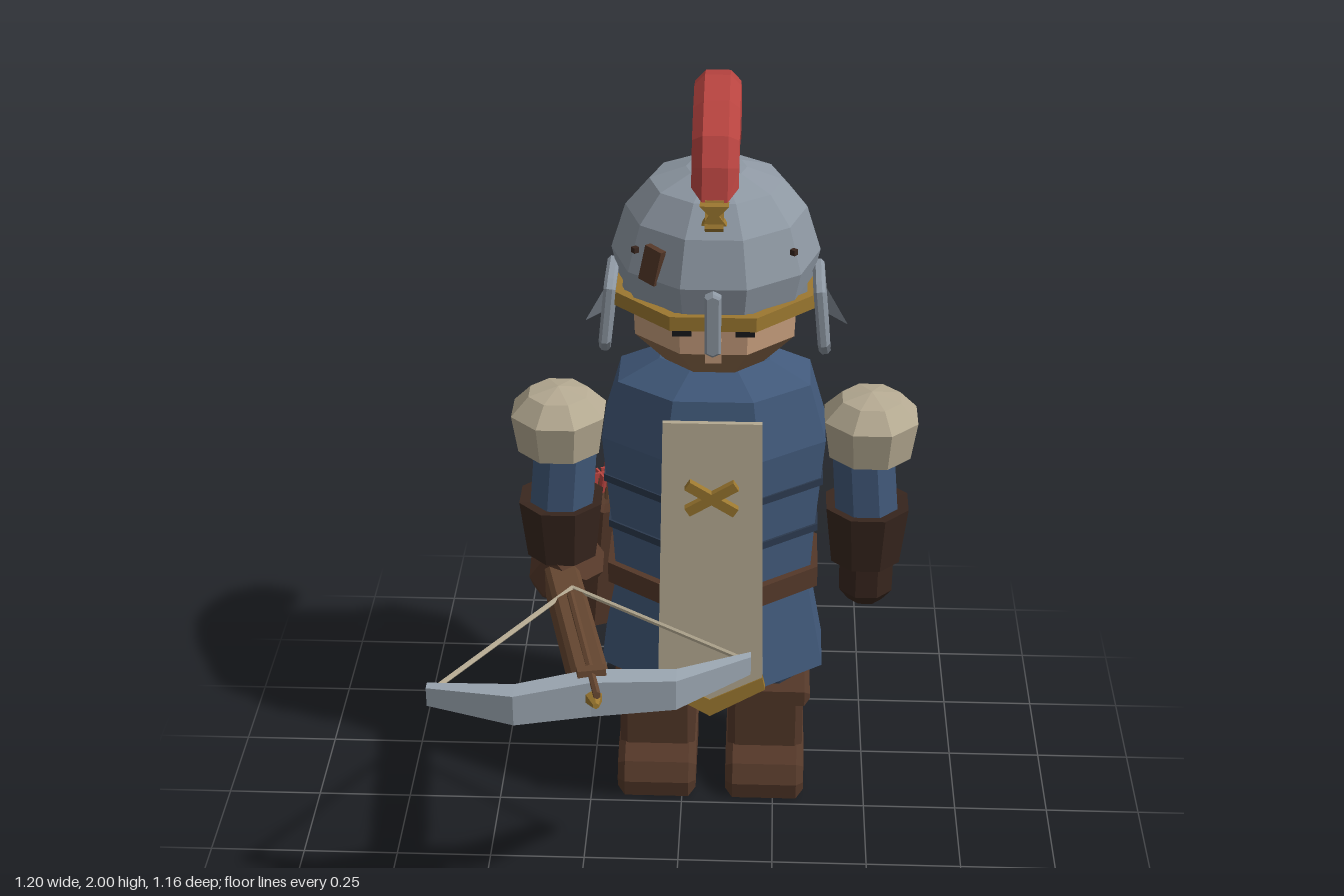
import * as THREE from 'three';

const C = { blue: 0x41597a, navy: 0x2b394d, brown: 0x543829, dark: 0x38261e, wood: 0x664731, steel: 0x8e98a3,
  bow: 0x9aa5b0, pale: 0xb5aa92, gold: 0x9c7830, red: 0xb84440, skin: 0xc69d7c, stubble: 0x8c6a4c, black: 0x17181b };
const mats = {};
const mat = (c) => (mats[c] ??= new THREE.MeshStandardMaterial({ color: C[c], flatShading: true, side: THREE.DoubleSide }));

function add(parent, name, geo, color, x = 0, y = 0, z = 0, rx = 0, ry = 0, rz = 0) {
  const m = new THREE.Mesh(geo, mat(color));
  m.name = name;
  m.position.set(x, y, z);
  m.rotation.set(rx, ry, rz);
  parent.add(m);
  return m;
}

// Faceted solid of revolution with a flat front; radii are half widths, depth scales z
function turned(profile, n = 8, depth = 1, k = 1 / Math.cos(Math.PI / n)) {
  const pts = profile.map(([r, y]) => new THREE.Vector2(r * k, y));
  return new THREE.LatheGeometry(pts, n, Math.PI / n).scale(1, 1, depth);
}

const shapeOf = (pts) => new THREE.Shape(pts.map((p) => new THREE.Vector2(...p)));

function slab(pts, depth, bevel = 0) {
  const geo = new THREE.ExtrudeGeometry(shapeOf(pts), { depth: depth - 2 * bevel, bevelEnabled: bevel > 0,
    bevelSize: bevel, bevelThickness: bevel, bevelOffset: -bevel, bevelSegments: 1 });
  return geo.translate(0, 0, bevel - depth / 2);
}
// Side profile given as [z, y], extruded across x
const sideSlab = (pts, width, bevel) => slab(pts, width, bevel).rotateY(-Math.PI / 2);
const rect = (x0, y0, x1, y1) => [[x0, y0], [x1, y0], [x1, y1], [x0, y1]];
const box = (w, h, d) => new THREE.BoxGeometry(w, h, d);

function rod(parent, name, a, b, r, color, r2 = r) {
  const A = new THREE.Vector3(...a), B = new THREE.Vector3(...b), d = B.clone().sub(A);
  const m = add(parent, name, new THREE.CylinderGeometry(r2, r, d.length(), 6), color);
  m.position.copy(A).addScaledVector(d, 0.5);
  m.quaternion.setFromUnitVectors(new THREE.Vector3(0, 1, 0), d.normalize());
}

// Four-sided bar along x through sections [x, y, z, halfHeight, halfThickness]
function bar(sections) {
  const pos = [], idx = [], n = sections.length;
  for (const [x, y, z, h, t] of sections)
    pos.push(x, y + h, z + t, x, y - h, z + t, x, y - h, z - t, x, y + h, z - t);
  for (let i = 0; i < n - 1; i++)
    for (let j = 0; j < 4; j++) {
      const a = i * 4 + j, b = i * 4 + (j + 1) % 4;
      idx.push(a, b, b + 4, a, b + 4, a + 4);
    }
  const e = (n - 1) * 4;
  idx.push(0, 2, 1, 0, 3, 2, e, e + 1, e + 2, e, e + 2, e + 3);
  const g = new THREE.BufferGeometry();
  g.setAttribute('position', new THREE.Float32BufferAttribute(pos, 3));
  g.setIndex(idx);
  g.computeVertexNormals();
  return g;
}

function makeBody(f) {
  add(f, 'tunic', turned([[0, 0.42], [0.25, 0.4], [0.298, 0.378], [0.255, 0.62], [0.265, 0.8], [0.288, 1.07],
    [0.245, 1.225], [0.14, 1.28], [0, 1.28]], 8, 0.71), 'blue');
  for (const [y, r] of [[0.81, 0.274], [0.95, 0.284]])
    add(f, 'tunicBand', turned([[r - 0.02, y - 0.01], [r, y - 0.01], [r, y + 0.01], [r - 0.02, y + 0.01]], 8, 0.71), 'navy');
  add(f, 'belt', turned([[0.24, 0.63], [0.278, 0.63], [0.278, 0.69], [0.24, 0.69]], 8, 0.73), 'brown');

  // Front and back tabards, leaning out toward the hem
  for (const s of [1, -1]) {
    const t = new THREE.Group();
    t.name = s > 0 ? 'frontTabard' : 'backTabard';
    t.position.set(0, 1.19, s * 0.216);
    t.rotation.set(-0.07, s > 0 ? 0 : Math.PI, 0, 'YXZ');
    f.add(t);
    add(t, 'cloth', slab([[-0.125, 0], [-0.137, -0.74], [0, -0.81], [0.137, -0.74], [0.125, 0]], 0.016), 'pale');
    add(t, 'hemTrim', slab([[-0.145, -0.765], [0, -0.85], [0.145, -0.765], [0.137, -0.73], [0, -0.8], [-0.137, -0.73]], 0.024), 'gold');
  }
  for (const a of [0.56, -0.56])
    add(f, 'crossEmblem', box(0.145, 0.026, 0.02), 'gold', 0, 1, 0.265, 0, 0, a);

  // Legs and boots
  for (const s of [1, -1]) {
    const leg = new THREE.Group();
    leg.name = s > 0 ? 'leftLeg' : 'rightLeg';
    leg.position.x = s * 0.148;
    f.add(leg);
    add(leg, 'trouser', turned([[0.09, 0.28], [0.09, 0.46]]), 'navy');
    add(leg, 'bootShaft', sideSlab(rect(-0.12, 0.1, 0.115, 0.28), 0.205, 0.02), 'brown');
    add(leg, 'bootCuff', sideSlab(rect(-0.13, 0.27, 0.13, 0.315), 0.24, 0.015), 'brown');
    add(leg, 'bootFoot', sideSlab([[-0.12, 0], [0.19, 0], [0.197, 0.05], [0.17, 0.1], [0.1, 0.13], [-0.12, 0.13]], 0.215, 0.02), 'brown');
  }

  // Arms; the right hand turns in to grip the stock
  for (const s of [1, -1]) {
    const arm = new THREE.Group();
    arm.name = s > 0 ? 'leftArm' : 'rightArm';
    arm.position.x = s * 0.405;
    f.add(arm);
    add(arm, 'shoulderCap', turned([[0, 0.99], [0.105, 1], [0.12, 1.105], [0.075, 1.155], [0, 1.172]]), 'pale', 0, 0, 0, 0, 0, 0).rotation.z = 0;
    add(arm, 'sleeve', turned([[0.082, -0.12], [0.08, 0.12]]), 'blue', s * -0.01, 0.93, 0, 0, 0, s * 0.08);
    add(arm, 'gauntlet', turned([[0, 0.68], [0.09, 0.68], [0.108, 0.845], [0, 0.83]], 8), 'dark');
    const hand = turned([[0, -0.07], [0.045, -0.07], [0.07, -0.035], [0.07, 0.07], [0, 0.07]]);
    if (s > 0) add(arm, 'hand', hand, 'dark', 0.005, 0.62, 0);
    else add(arm, 'hand', hand.scale(1.15, 1.15, 1.15), 'brown', 0, 0.615, 0, 0.35, 0, -0.5);
  }
}

function makeHead(f) {
  add(f, 'jaw', turned([[0, 1.27], [0.125, 1.28], [0.2, 1.365]], 8, 0.93), 'stubble');
  add(f, 'face', turned([[0.2, 1.365], [0.205, 1.5], [0, 1.5]], 8, 0.93), 'skin');
  add(f, 'nose', box(0.04, 0.06, 0.03), 'skin', 0, 1.38, 0.19);
  for (const s of [1, -1]) add(f, 'eye', box(0.048, 0.035, 0.012), 'black', s * 0.078, 1.435, 0.188);

  // Helmet
  add(f, 'helmetDome', turned([[0.235, 1.46], [0.245, 1.5], [0.261, 1.57], [0.225, 1.685], [0.165, 1.755],
    [0.075, 1.787], [0, 1.795]], 10, 1, 1), 'steel');
  add(f, 'helmetBand', turned([[0.23, 1.46], [0.255, 1.46], [0.255, 1.497], [0.23, 1.497]], 8, 0.98), 'gold');
  add(f, 'noseGuard', slab([[-0.02, 1.41], [0, 1.4], [0.02, 1.41], [0.02, 1.56], [0, 1.57], [-0.02, 1.56]], 0.03, 0.006), 'steel', 0, 0, 0.262);
  add(f, 'neckGuard', new THREE.CylinderGeometry(0.258, 0.368, 0.2, 4, 1, true, Math.PI - 1.19, 2.38), 'steel', 0, 1.395, 0);
  for (const s of [1, -1])
    add(f, 'cheekPlate', sideSlab([[0.05, -0.115], [0.14, -0.05], [0.14, 0.1], [0.115, 0.118], [-0.02, 0.118],
      [-0.045, 0.1], [-0.045, -0.05]], 0.03, 0.008), 'steel', s * 0.268, 1.417, 0, 0, 0, s * 0.1);
  add(f, 'dentPatch', box(0.05, 0.09, 0.02), 'brown', -0.15, 1.607, 0.19, -0.15, -0.63, -0.25);
  for (const a of [0.9, -0.9, 2.2, -2.2])
    add(f, 'rivet', box(0.014, 0.014, 0.014), 'dark', Math.sin(a) * 0.246, 1.63, Math.cos(a) * 0.246, 0, a, 0);

  // Crest and its gilt holder
  add(f, 'crest', sideSlab([[0.185, 1.77], [0.165, 1.85], [0.125, 1.915], [0.035, 1.97], [-0.06, 2], [-0.15, 1.98],
    [-0.24, 1.92], [-0.3, 1.825], [-0.307, 1.735], [-0.285, 1.715], [-0.195, 1.775], [-0.07, 1.81], [0.06, 1.81]], 0.114, 0.026), 'red');
  add(f, 'crestHolder', sideSlab([[0.215, 1.715], [0.185, 1.775], [0.06, 1.815], [-0.07, 1.815], [-0.195, 1.785],
    [-0.285, 1.72], [-0.265, 1.69], [-0.17, 1.75], [0, 1.785], [0.14, 1.745], [0.2, 1.7]], 0.045), 'gold');
  add(f, 'crestClip', slab([[-0.035, 1.77], [-0.012, 1.745], [-0.03, 1.72], [0.03, 1.72], [0.012, 1.745], [0.035, 1.77]], 0.03), 'gold', 0, 0, 0.195);
}

function makeCrossbow(root) {
  const g = new THREE.Group();
  g.name = 'crossbow';
  root.add(g);
  const stock = new THREE.Group();
  stock.name = 'stock';
  stock.position.set(-0.285, 0.645, 0.05);
  stock.rotation.set(-0.12, 0.2, 0, 'YXZ');
  g.add(stock);
  add(stock, 'tiller', sideSlab([[-0.42, -0.075], [-0.3, -0.06], [0.4, -0.055], [0.44, -0.03], [0.44, 0.045], [0.4, 0.05],
    [-0.25, 0.045], [-0.42, 0.04]], 0.09, 0.012), 'wood');
  rod(stock, 'bolt', [0, 0.055, 0], [0, 0.045, 0.54], 0.01, 'wood');
  rod(stock, 'noseSpike', [0, 0, 0.42], [0, 0, 0.51], 0.04, 'gold', 0.008);
  add(stock, 'bowBinding', box(0.07, 0.125, 0.03), 'wood', 0, 0, 0.43);
  const limbs = [[-0.602, 0.687, 0.485, 0.026, 0.012], [-0.385, 0.69, 0.525, 0.042, 0.027], [-0.2, 0.695, 0.475, 0.05, 0.03],
    [0.005, 0.693, 0.45, 0.042, 0.027], [0.185, 0.687, 0.322, 0.026, 0.012]];
  add(g, 'bowLimbs', bar(limbs), 'bow');
  const nock = [-0.285, 0.685, -0.01];
  rod(g, 'string', [-0.595, 0.687, 0.475], nock, 0.007, 'pale');
  rod(g, 'string', [0.178, 0.687, 0.315], nock, 0.007, 'pale');
}

function makeQuiver(root) {
  const q = new THREE.Group();
  q.name = 'quiver';
  q.position.set(-0.235, 0.58, -0.335);
  q.rotation.set(0.06, 0.5, -0.1);
  root.add(q);
  add(q, 'case', turned([[0, -0.2], [0.04, -0.2], [0.055, 0.18], [0, 0.17]], 6), 'brown');
  for (const [x, z] of [[-0.022, 0], [0.02, 0.018], [0.015, -0.022]]) {
    rod(q, 'quarrel', [x, 0.1, z], [x, 0.26, z], 0.007, 'wood');
    for (const a of [0, Math.PI / 2])
      add(q, 'fletching', slab([[-0.015, 0.21], [0.015, 0.21], [0.025, 0.275], [-0.025, 0.275]], 0.006), 'red', x, 0, z, 0, a, 0);
  }
}

export function createModel() {
  const root = new THREE.Group();
  root.name = 'crossbowGuard';
  const figure = new THREE.Group();
  figure.name = 'figure';
  figure.position.set(0.078, 0, -0.215);
  root.add(figure);
  makeBody(figure);
  makeHead(figure);
  makeCrossbow(root);
  makeQuiver(root);
  return root;
}
